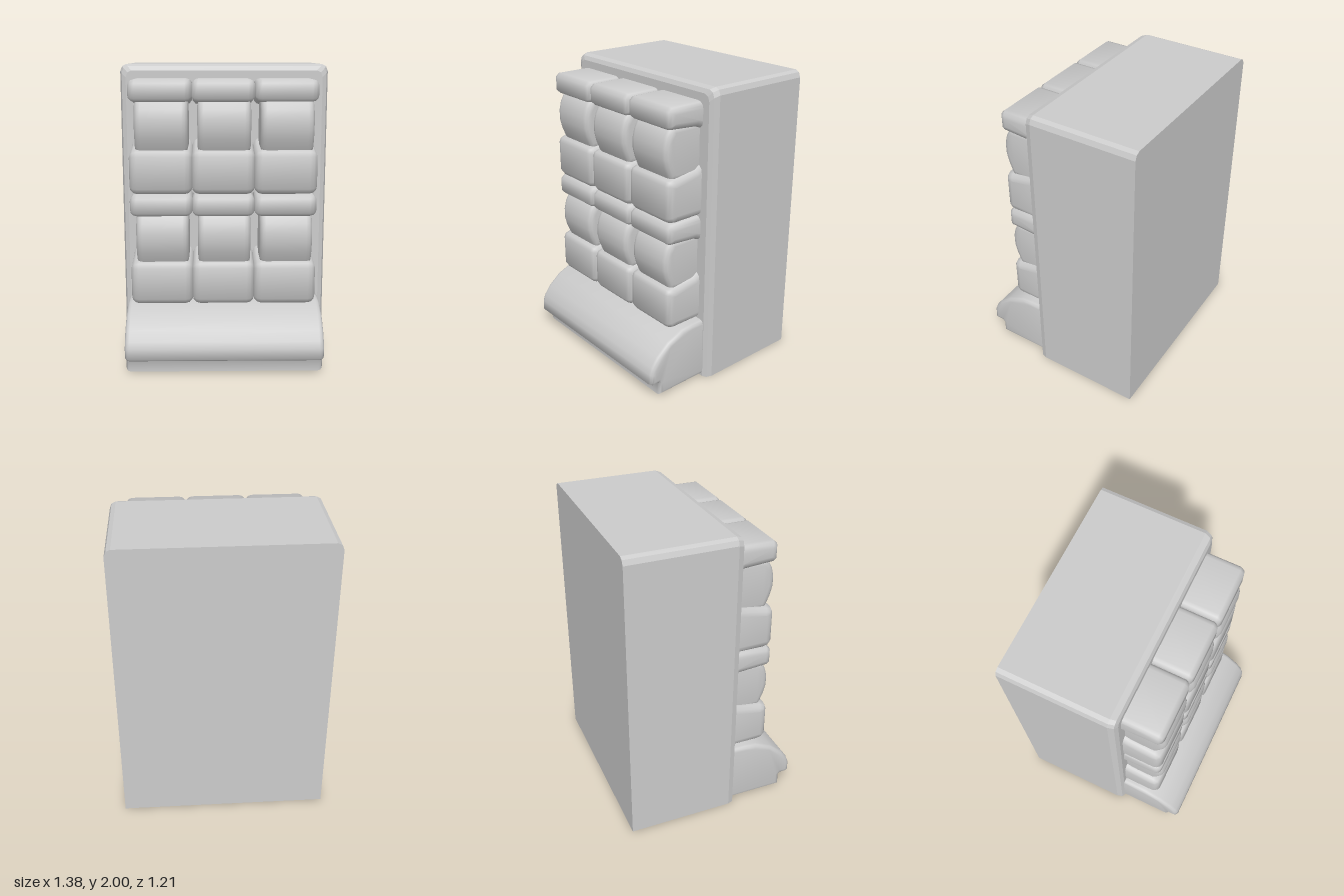
import * as THREE from 'three';
import { toCreasedNormals } from 'three/addons/utils/BufferGeometryUtils.js';

const smooth = new THREE.MeshStandardMaterial({ color: 0xcccccc });
const flat = new THREE.MeshStandardMaterial({ color: 0xcccccc, flatShading: true });

// Side profile of [z, y] points, extruded along x between two soft-edged ends
function padGeometry(profile, width, bevel) {
  const shape = new THREE.Shape(profile.map(([z, y]) => new THREE.Vector2(z, y)));
  const depth = width - 2 * bevel;
  const geo = new THREE.ExtrudeGeometry(shape, {
    depth, bevelEnabled: true, bevelSize: bevel, bevelThickness: bevel,
    bevelOffset: -bevel, bevelSegments: 3,
  });
  geo.translate(0, 0, -depth / 2);
  geo.rotateY(-Math.PI / 2);
  return toCreasedNormals(geo, 1.0);
}

// Cabinet: arch-like outline with eased top corners, inset towards the front
function cabinetGeometry() {
  const right = [[0.69, 0], [0.69, 1.955], [0.677, 1.987], [0.65, 2]];
  const outline = [...right, ...right.map(([x, y]) => [-x, y]).reverse()];
  const rings = [[-0.6, 0], [0.11, 0], [0.147, 0.013], [0.16, 0.04]]; // [z, inset]
  const n = outline.length;
  const pos = [];
  const index = [];
  for (const [z, inset] of rings) {
    for (const [x, y] of outline) {
      pos.push(x * (1 - inset / 0.69), y * (1 - inset / 2), z);
    }
  }
  for (let r = 0; r < rings.length - 1; r++) {
    for (let i = 0; i < n; i++) {
      const a = r * n + i;
      const b = r * n + (i + 1) % n;
      index.push(a, b, b + n, a, b + n, a + n);
    }
  }
  const front = (rings.length - 1) * n;
  for (let i = 1; i < n - 1; i++) {
    index.push(0, i + 1, i);
    index.push(front, front + i, front + i + 1);
  }
  const geo = new THREE.BufferGeometry();
  geo.setAttribute('position', new THREE.Float32BufferAttribute(pos, 3));
  geo.setIndex(index);
  geo.computeVertexNormals();
  return geo;
}

export function createModel() {
  const model = new THREE.Group();
  model.name = 'backpack';
  const add = (name, geo, x = 0, y = 0, material = smooth) => {
    const mesh = new THREE.Mesh(geo, material);
    mesh.name = name;
    mesh.position.set(x, y, 0);
    model.add(mesh);
  };

  add('mainBody', cabinetGeometry(), 0, 0, flat);

  // Rounded roll along the foot with a small step underneath
  add('bottomRoll', padGeometry([
    [0.08, 0.01], [0.53, 0.01], [0.53, 0.095], [0.54, 0.106], [0.585, 0.105],
    [0.605, 0.12], [0.602, 0.19], [0.585, 0.235], [0.54, 0.297], [0.45, 0.372],
    [0.33, 0.425], [0.25, 0.432], [0.08, 0.432],
  ], 1.3, 0.03), -0.005);

  // Pouch parts, drawn for the upper row
  const flap = padGeometry([
    [0.08, 1.73], [0.16, 1.738], [0.2, 1.755], [0.395, 1.77], [0.418, 1.79],
    [0.418, 1.885], [0.39, 1.91], [0.08, 1.91],
  ], 0.41, 0.045);
  const pouch = padGeometry([
    [0.06, 1.44], [0.37, 1.44], [0.385, 1.47], [0.41, 1.53], [0.425, 1.59],
    [0.425, 1.66], [0.41, 1.72], [0.385, 1.765], [0.36, 1.785], [0.06, 1.785],
  ], 0.345, 0.04);
  const pocket = padGeometry([
    [0.08, 1.17], [0.36, 1.17], [0.395, 1.178], [0.418, 1.21], [0.418, 1.42],
    [0.405, 1.45], [0.37, 1.462], [0.2, 1.49], [0.16, 1.515], [0.08, 1.52],
  ], 0.41, 0.05);

  // Two rows of three pouches
  for (const y of [0, -0.74]) {
    for (const x of [-0.415, -0.01, 0.396]) {
      add('pouchFlap', flap, x, y);
      add('pouchBody', pouch, x + 0.006, y);
      add('pouchPocket', pocket, x, y);
    }
  }
  return model;
}
